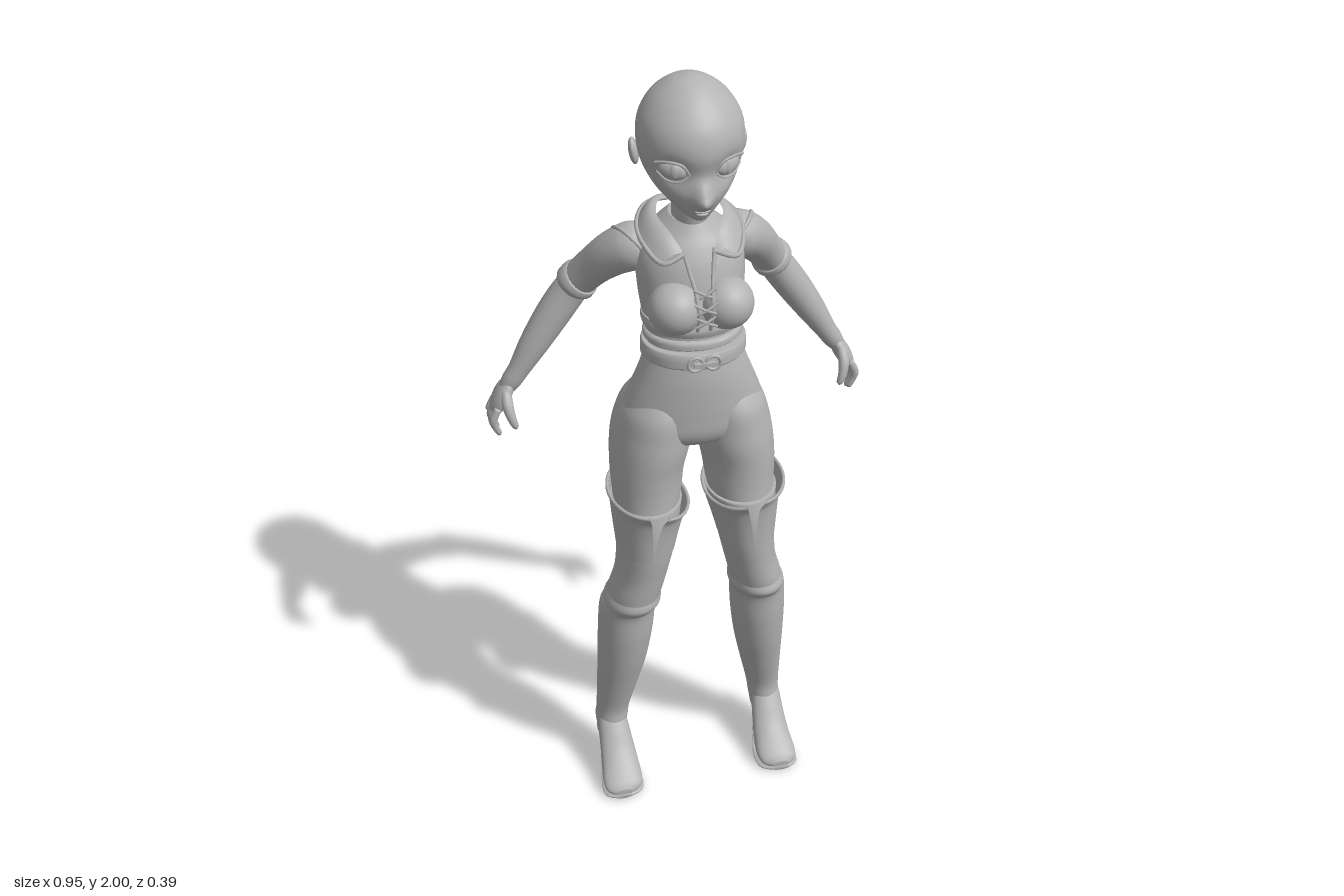
import * as THREE from 'three';
import { toCreasedNormals } from 'three/addons/utils/BufferGeometryUtils.js';

const V = (p) => new THREE.Vector3(p[0], p[1], p[2]);

// Smooth interpolation through a list of number rows, u in 0..1
function sample(rows, u) {
  const f = u * (rows.length - 1), i = Math.min(Math.floor(f), rows.length - 2), t = f - i;
  const at = (k) => rows[Math.max(0, Math.min(rows.length - 1, k))];
  const [a, b, c, d] = [at(i - 1), at(i), at(i + 1), at(i + 2)];
  return b.map((_, k) => b[k] + 0.5 * t * (c[k] - a[k] + t * (2 * a[k] - 5 * b[k] + 4 * c[k] - d[k] + t * (3 * (b[k] - c[k]) + d[k] - a[k]))));
}

// Skin over rings of points
function skin(rings, { closed = true, flip = false, caps = true } = {}) {
  const n = rings[0].length, pos = rings.flat(2), idx = [];
  const tri = (a, b, c) => (flip ? idx.push(a, c, b) : idx.push(a, b, c));
  for (let i = 0; i < rings.length - 1; i++) {
    for (let j = 0; j < (closed ? n : n - 1); j++) {
      const k = (j + 1) % n, a = i * n + j, b = i * n + k;
      tri(a, b, b + n);
      tri(a, b + n, a + n);
    }
  }
  if (closed && caps) {
    [0, rings.length - 1].forEach((r, end) => {
      const c = pos.length / 3;
      for (let k = 0; k < 3; k++) pos.push(rings[r].reduce((s, p) => s + p[k], 0) / n);
      for (let j = 0; j < n; j++) {
        const a = r * n + j, b = r * n + (j + 1) % n;
        end ? tri(a, b, c) : tri(b, a, c);
      }
    });
  }
  const g = new THREE.BufferGeometry();
  g.setAttribute('position', new THREE.Float32BufferAttribute(pos, 3));
  g.setIndex(idx);
  g.computeVertexNormals();
  return g;
}

// Sections [t, xMin, xMax, far, near] stacked along y (or along z when axis is 'z')
function loft(sections, { axis = 'y', n = 36, steps = 6, gap = null, caps = true } = {}) {
  const rings = [], m = (sections.length - 1) * steps;
  for (let i = 0; i <= m; i++) {
    const [t, x0, x1, f, b] = sample(sections, i / m), g = gap ? gap(i / m) : 0;
    const ring = [];
    for (let j = 0; j < n; j++) {
      const a = gap ? g + (2 * Math.PI - 2 * g) * j / (n - 1) : 2 * Math.PI * j / n;
      const x = (x0 + x1) / 2 + (x1 - x0) / 2 * Math.sin(a), w = (f + b) / 2 + (f - b) / 2 * Math.cos(a);
      ring.push(axis === 'y' ? [x, t, w] : [x, w, t]);
    }
    rings.push(ring);
  }
  const down = sections.at(-1)[0] < sections[0][0];
  return skin(rings, { closed: !gap, flip: down !== (axis === 'z'), caps });
}
// Symmetric sections [y, halfWidth, front, back]
const body = (s, o) => loft(s.map(([y, w, f, b]) => [y, -w, w, f, b]), o);

// Round limb through [x, y, z, radius]
function limb(pts, n = 20, steps = 6) {
  const curve = new THREE.CatmullRomCurve3(pts.map(V), false, 'catmullrom', 0.5), m = (pts.length - 1) * steps, rings = [];
  for (let i = 0; i <= m; i++) {
    const s = sample(pts, i / m), T = curve.getTangent(i / m);
    const N = T.clone().cross(new THREE.Vector3(0, 0, 1)).normalize(), B = T.clone().cross(N);
    rings.push(Array.from({ length: n }, (_, j) => {
      const a = 2 * Math.PI * j / n;
      return V(s).addScaledVector(N, s[3] * Math.cos(a)).addScaledVector(B, s[3] * Math.sin(a)).toArray();
    }));
  }
  return skin(rings);
}

const cord = (pts, r) => new THREE.TubeGeometry(new THREE.CatmullRomCurve3(pts.map(V)), pts.length * 6, r, 6);
const ball = (c, r, ry = 0, rz = 0) => new THREE.SphereGeometry(1, 28, 20).scale(...r).rotateZ(rz).rotateY(ry).translate(...c);

// Soft push of vertices around a point
function push(g, c, r, d) {
  const p = g.attributes.position, v = new THREE.Vector3();
  for (let i = 0; i < p.count; i++) {
    v.fromBufferAttribute(p, i);
    const k = Math.exp(-v.distanceToSquared(V(c)) / (r * r));
    p.setXYZ(i, v.x + d[0] * k, v.y + d[1] * k, v.z + d[2] * k);
  }
  g.computeVertexNormals();
}

function mirrored(g) {
  const m = g.clone().scale(-1, 1, 1), ix = m.index;
  for (let i = 0; i < ix.count; i += 3) {
    const a = ix.getX(i);
    ix.setX(i, ix.getX(i + 1));
    ix.setX(i + 1, a);
  }
  return m;
}

export function createModel() {
  const model = new THREE.Group();
  const grey = new THREE.MeshStandardMaterial({ color: 0xb3b3b3, side: THREE.DoubleSide });
  grey.name = 'grey';
  const add = (name, g) => {
    const mesh = new THREE.Mesh(g, grey);
    mesh.name = name;
    model.add(mesh);
  };
  const pair = (name, g) => {
    add(name + 'Left', g);
    add(name + 'Right', mirrored(g));
  };

  // Head and face
  const head = body([[1.693, 0.006, 0.09, 0.06], [1.703, 0.026, 0.108, 0.02], [1.73, 0.057, 0.121, -0.035], [1.765, 0.088, 0.128, -0.075],
    [1.81, 0.111, 0.126, -0.108], [1.86, 0.12, 0.135, -0.122], [1.91, 0.114, 0.124, -0.12], [1.955, 0.087, 0.092, -0.096],
    [1.985, 0.05, 0.054, -0.056], [1.997, 0.02, 0.022, -0.022], [2, 0.001, 0.001, -0.001]], { n: 64, steps: 7 });
  push(head, [0, 1.757, 0.13], 0.02, [0, 0, 0.032]);
  push(head, [0, 1.785, 0.13], 0.02, [0, 0, 0.012]);
  for (const s of [-1, 1]) push(head, [s * 0.064, 1.822, 0.11], 0.033, [0, 0, -0.014]);
  add('head', head);
  pair('eye', ball([0.06, 1.825, 0.096], [0.033, 0.023, 0.017], 0.5, 0.12));
  pair('iris', ball([0.061, 1.825, 0.108], [0.012, 0.018, 0.007], 0.45));
  pair('upperLid', cord([[0.028, 1.818, 0.118], [0.045, 1.843, 0.121], [0.07, 1.85, 0.112], [0.098, 1.842, 0.085]], 0.0035));
  pair('lowerLid', cord([[0.03, 1.815, 0.118], [0.05, 1.803, 0.115], [0.075, 1.804, 0.1], [0.094, 1.82, 0.082]], 0.002));
  add('upperLip', ball([0, 1.73, 0.12], [0.018, 0.004, 0.008]));
  add('lowerLip', ball([0, 1.722, 0.117], [0.014, 0.005, 0.008]));
  pair('ear', ball([0.122, 1.825, -0.02], [0.011, 0.032, 0.02], 0.3, -0.15));
  add('neck', body([[1.6, 0.055, 0.05, -0.08], [1.65, 0.044, 0.055, -0.055], [1.7, 0.042, 0.062, -0.045], [1.75, 0.045, 0.065, -0.05]]));

  // Torso, bust and vest trim
  add('torso', body([[1.3, 0.122, 0.135, -0.06], [1.38, 0.112, 0.12, -0.058], [1.43, 0.117, 0.12, -0.075], [1.5, 0.125, 0.125, -0.098],
    [1.57, 0.126, 0.11, -0.107], [1.615, 0.108, 0.09, -0.104], [1.645, 0.075, 0.07, -0.092], [1.67, 0.045, 0.055, -0.07]], { n: 48 }));
  pair('bust', ball([0.06, 1.488, 0.108], [0.064, 0.062, 0.066], 0.15));
  add('vestHem', body([[1.41, 0.117, 0.125, -0.072], [1.425, 0.122, 0.129, -0.078], [1.44, 0.12, 0.126, -0.08]], { n: 48 }));
  pair('vestEdge', cord([[0.036, 1.62, 0.09], [0.028, 1.58, 0.113], [0.02, 1.54, 0.14], [0.017, 1.5, 0.157], [0.015, 1.44, 0.142]], 0.005));
  [[1.47, 0.158], [1.503, 0.16], [1.536, 0.148]].forEach(([y, z]) =>
    pair('lace', cord([[-0.026, y + 0.014, z - 0.002], [0, y, z + 0.003], [0.026, y - 0.014, z - 0.002]], 0.0035)));

  // Collar: a curved strip folded out from the neckline, with a rounded rim
  const inner = [[0, 1.668, -0.08], [0.055, 1.678, -0.06], [0.076, 1.672, 0], [0.06, 1.655, 0.055], [0.034, 1.615, 0.094]];
  const outer = [[0, 1.655, -0.112], [0.075, 1.657, -0.095], [0.116, 1.643, -0.03], [0.116, 1.622, 0.04], [0.085, 1.6, 0.1]];
  const strip = [0, 0.25, 0.5, 0.75, 1].map((k) => Array.from({ length: 25 }, (_, i) => {
    const p = V(sample(inner, i / 24)).lerp(V(sample(outer, i / 24)), k);
    return [p.x, p.y + 0.012 * Math.sin(Math.PI * k), p.z];
  }));
  pair('collar', skin(strip, { closed: false, flip: true }));
  pair('collarRim', cord([...outer, inner[4]], 0.006));

  // Waist belts with a double ring buckle
  const belt = (y0, y1, w, f, b) => toCreasedNormals(body([[y0, w, f, b], [y0 + 0.004, w + 0.006, f + 0.006, b - 0.006],
    [y1 - 0.004, w + 0.005, f + 0.005, b - 0.005], [y1, w, f, b]], { n: 48, steps: 2 }), 0.6);
  add('lowerBelt', belt(1.333, 1.372, 0.12, 0.136, -0.064));
  add('upperBelt', belt(1.378, 1.4, 0.113, 0.126, -0.064));
  pair('buckleRing', new THREE.TorusGeometry(0.016, 0.004, 8, 20).scale(1.1, 1.1, 1).translate(0.021, 1.354, 0.147));
  add('buckleBar', new THREE.BoxGeometry(0.05, 0.008, 0.01).translate(0, 1.354, 0.15));

  // Hips and thighs
  add('hips', body([[1.335, 0.118, 0.134, -0.06], [1.29, 0.134, 0.14, -0.063], [1.24, 0.154, 0.141, -0.073], [1.19, 0.172, 0.14, -0.09],
    [1.14, 0.182, 0.135, -0.1], [1.105, 0.15, 0.112, -0.085], [1.085, 0.06, 0.06, -0.04]], { n: 48 }));
  pair('thigh', loft([[1.24, 0.02, 0.135, 0.11, -0.055], [1.19, 0.006, 0.173, 0.135, -0.095], [1.13, 0.002, 0.193, 0.141, -0.115],
    [1.08, 0.008, 0.202, 0.143, -0.11], [1.02, 0.024, 0.206, 0.139, -0.088], [0.95, 0.034, 0.204, 0.138, -0.064], [0.86, 0.05, 0.2, 0.145, -0.04]], { n: 40 }));

  // Tall boots with a knee fold, split cuff, foot and heel
  pair('boot', loft([[0.93, 0.033, 0.209, 0.146, -0.064], [0.87, 0.044, 0.206, 0.155, -0.05], [0.8, 0.058, 0.202, 0.155, -0.032],
    [0.72, 0.076, 0.208, 0.146, -0.022], [0.66, 0.09, 0.224, 0.14, -0.026], [0.615, 0.098, 0.234, 0.131, -0.038], [0.585, 0.102, 0.246, 0.112, -0.046],
    [0.5, 0.108, 0.251, 0.103, -0.056], [0.4, 0.122, 0.253, 0.085, -0.06], [0.3, 0.143, 0.255, 0.058, -0.06], [0.2, 0.166, 0.257, 0.031, -0.06],
    [0.15, 0.174, 0.258, 0.032, -0.064], [0.1, 0.182, 0.258, 0.03, -0.064]], { n: 40 }));
  pair('kneeFold', loft([[0.652, 0.094, 0.222, 0.137, -0.024], [0.625, 0.092, 0.236, 0.141, -0.04], [0.598, 0.102, 0.238, 0.12, -0.04]], { n: 40 }));
  const cuff = loft([[0.8, 0.057, 0.203, 0.158, -0.034], [0.87, 0.042, 0.209, 0.164, -0.053], [0.92, 0.031, 0.213, 0.172, -0.066],
    [0.945, 0.028, 0.215, 0.185, -0.071], [0.963, 0.024, 0.219, 0.197, -0.075]], { n: 49, gap: (v) => 0.02 + 0.24 * v });
  const cp = cuff.attributes.position;
  for (let i = 0; i < cp.count; i++) {
    const lift = Math.max(0, (cp.getY(i) - 0.8) / 0.16);
    cp.setY(i, cp.getY(i) + Math.min(0, cp.getX(i) - 0.13) * 0.3 * lift);
  }
  cuff.computeVertexNormals();
  pair('bootCuff', cuff);
  pair('bootCuffRim', cord(Array.from({ length: 25 }, (_, j) => [0, 1, 2].map((k) => cp.array[(24 * 49 + j * 2) * 3 + k])), 0.0045));
  pair('foot', loft([[-0.07, 0.195, 0.245, 0.16, 0.1], [-0.045, 0.183, 0.257, 0.19, 0.088], [0, 0.178, 0.26, 0.19, 0.075], [0.04, 0.172, 0.262, 0.148, 0.042],
    [0.08, 0.166, 0.267, 0.1, 0.01], [0.12, 0.164, 0.271, 0.067, 0.006], [0.148, 0.173, 0.266, 0.046, 0.006], [0.162, 0.2, 0.245, 0.03, 0.012]], { axis: 'z' }));
  pair('sole', loft([[-0.01, 0.185, 0.252, 0.084, 0.07], [0.04, 0.174, 0.261, 0.05, 0.035], [0.08, 0.163, 0.269, 0.018, 0.002],
    [0.12, 0.16, 0.274, 0.015, 0], [0.15, 0.17, 0.269, 0.016, 0], [0.166, 0.2, 0.245, 0.016, 0.004]], { axis: 'z' }));
  pair('heel', toCreasedNormals(loft([[0.14, 0.184, 0.256, 0.005, -0.07], [0.09, 0.19, 0.252, -0.012, -0.074], [0.045, 0.2, 0.246, -0.028, -0.072],
    [0, 0.202, 0.244, -0.034, -0.068]], { n: 24 }), 0.8).setIndex(Array.from({ length: (18 * 24 + 24) * 6 }, (_, i) => i)));

  // Arms with a sleeve cuff at the elbow
  pair('upperArm', limb([[0.1, 1.59, -0.03, 0.046], [0.125, 1.58, -0.04, 0.057], [0.165, 1.55, -0.068, 0.053], [0.205, 1.5, -0.108, 0.046], [0.243, 1.445, -0.142, 0.043]]));
  pair('armhole', new THREE.TorusGeometry(0.058, 0.005, 8, 32).rotateY(1.2).rotateZ(-0.55).translate(0.128, 1.578, -0.042));
  pair('sleeveCuff', limb([[0.224, 1.47, -0.128, 0.04], [0.232, 1.46, -0.135, 0.049], [0.245, 1.442, -0.142, 0.05], [0.253, 1.43, -0.145, 0.04]]));
  pair('forearm', limb([[0.225, 1.468, -0.13, 0.036], [0.255, 1.425, -0.148, 0.042], [0.3, 1.36, -0.152, 0.042], [0.35, 1.285, -0.15, 0.036],
    [0.39, 1.222, -0.147, 0.027], [0.41, 1.192, -0.148, 0.025], [0.425, 1.17, -0.149, 0.02]]));

  // Hands
  pair('palm', ball([0.438, 1.148, -0.15], [0.021, 0.056, 0.039], 0, 0.5));
  [-0.18, -0.16, -0.139, -0.119].forEach((z, i) => {
    const tip = [1.062, 1.047, 1.043, 1.052][i];
    pair('finger', limb([[0.452, 1.13, z, 0.009], [0.466, 1.1, z, 0.0105], [0.464, tip + 0.03, z - 0.001, 0.009],
      [0.454, tip + 0.006, z - 0.002, 0.007], [0.45, tip, z - 0.002, 0.001]], 10, 4));
  });
  pair('thumb', limb([[0.428, 1.172, -0.132, 0.012], [0.43, 1.145, -0.106, 0.014], [0.424, 1.115, -0.092, 0.011], [0.416, 1.092, -0.088, 0.008], [0.413, 1.086, -0.087, 0.001]], 12, 4));

  return model;
}
